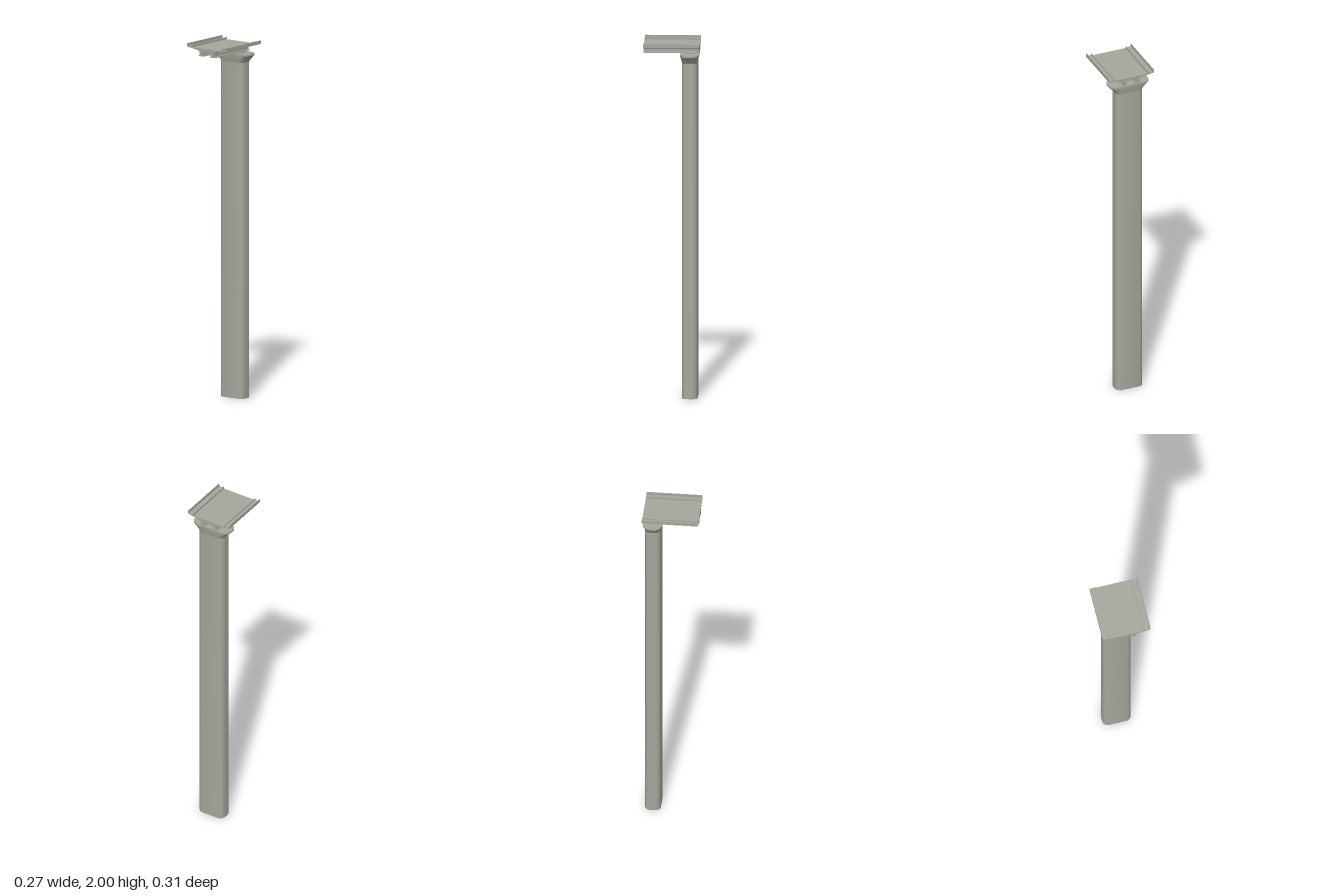
import * as THREE from 'three';
import { toCreasedNormals } from 'three/addons/utils/BufferGeometryUtils.js';

const PIER_Z = -0.1;

// Points around a rounded rectangle in the ground plane
function ring(hx, hz, r, seg = 6) {
  const pts = [];
  const corners = [[1, 1], [-1, 1], [-1, -1], [1, -1]];
  corners.forEach(([sx, sz], c) => {
    for (let i = 0; i <= seg; i++) {
      const a = (c + i / seg) * Math.PI / 2;
      pts.push([sx * (hx - r) + r * Math.cos(a), sz * (hz - r) + r * Math.sin(a)]);
    }
  });
  return pts;
}

// Skin stacked rounded rectangles [y, hx, hz, r]; optionally close the top
function skin(levels, capTop) {
  const pos = [], idx = [];
  const n = ring(1, 1, 0.5).length;
  for (const [y, hx, hz, r] of levels) {
    for (const [x, z] of ring(hx, hz, r)) pos.push(x, y, z);
  }
  for (let l = 0; l < levels.length - 1; l++) {
    for (let i = 0; i < n; i++) {
      const a = l * n + i, b = l * n + (i + 1) % n;
      idx.push(a, a + n, b, b, a + n, b + n);
    }
  }
  if (capTop) {
    const base = (levels.length - 1) * n, centre = pos.length / 3;
    pos.push(0, levels[levels.length - 1][0], 0);
    for (let i = 0; i < n; i++) idx.push(base + i, centre, base + (i + 1) % n);
  }
  const geo = new THREE.BufferGeometry();
  geo.setAttribute('position', new THREE.Float32BufferAttribute(pos, 3));
  geo.setIndex(idx);
  return toCreasedNormals(geo, 0.5);
}

export function createModel() {
  const model = new THREE.Group();
  model.name = 'viaductPier';
  const concrete = new THREE.MeshStandardMaterial({ color: 0xa6a69c, side: THREE.DoubleSide });
  concrete.name = 'concrete';

  const add = (name, geo, x = 0, y = 0, z = 0) => {
    const mesh = new THREE.Mesh(geo, concrete);
    mesh.name = name;
    mesh.position.set(x, y, z);
    model.add(mesh);
  };

  // Hollow shaft, open at the foot
  add('shaft', skin([[0, 0.08, 0.043, 0.03], [1.88, 0.08, 0.043, 0.03]], false), 0, 0, PIER_Z);

  // Flared capital with a thin rim
  add('capital', skin([
    [1.88, 0.08, 0.043, 0.03],
    [1.893, 0.088, 0.045, 0.033],
    [1.922, 0.119, 0.052, 0.045],
    [1.931, 0.119, 0.052, 0.045],
  ], true), 0, 0, PIER_Z);

  // Bearing pads between capital and girders
  for (const s of [-1, 1]) {
    add('bearingPad', new THREE.BoxGeometry(0.026, 0.008, 0.055), s * 0.04, 1.934, PIER_Z);
  }

  // Half of the deck section, from the middle of the top round to the middle of the underside
  const half = [
    [0.1, 1.981], [0.1, 1.992], [0.105, 1.992], [0.105, 1.985],
    [0.132, 1.985], [0.132, 2.0], [0.136, 2.0], [0.136, 1.981],
    [0.103, 1.976], [0.062, 1.969], [0.05, 1.961], [0.05, 1.944],
    [0.057, 1.942], [0.057, 1.937], [0.022, 1.937], [0.022, 1.942],
    [0.028, 1.944], [0.028, 1.961],
  ];
  const mirrored = half.map(([x, y]) => [-x, y]).reverse();
  const section = new THREE.Shape([...half, ...mirrored].map(([x, y]) => new THREE.Vector2(x, y)));
  const deck = new THREE.ExtrudeGeometry(section, { depth: 0.31, bevelEnabled: false });
  add('deck', deck, 0, 0, -0.155);

  return model;
}
